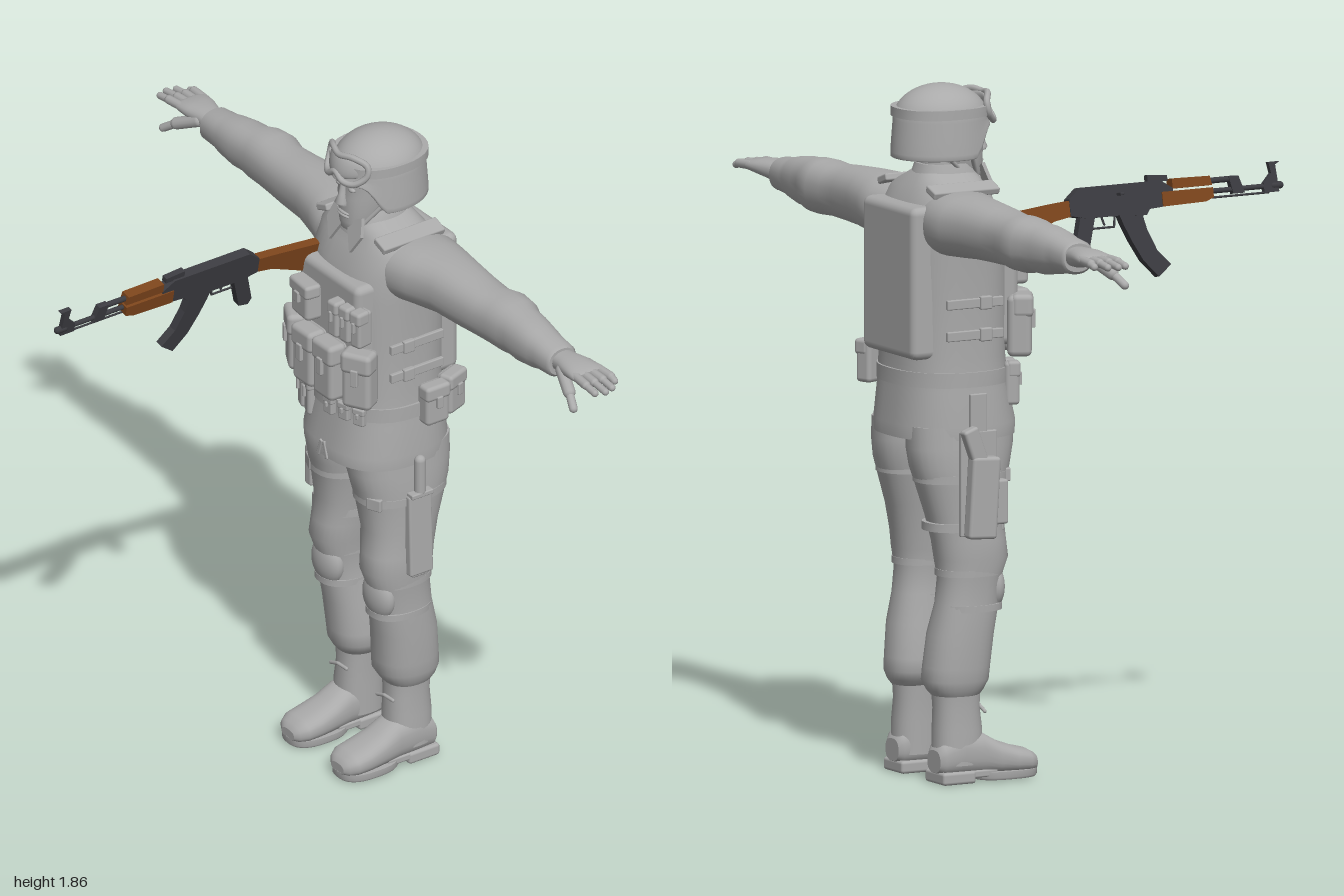
import * as THREE from 'three';
import { RoundedBoxGeometry } from 'three/addons/geometries/RoundedBoxGeometry.js';
import { mergeVertices } from 'three/addons/utils/BufferGeometryUtils.js';

const grey = new THREE.MeshStandardMaterial({ color: 0xaaaaaa, side: THREE.DoubleSide });
grey.name = 'uniform grey';
const steel = new THREE.MeshStandardMaterial({ color: 0x3c3c41 });
steel.name = 'gun metal';
const wood = new THREE.MeshStandardMaterial({ color: 0x7d451c });
wood.name = 'wood';

const V = (x, y, z) => new THREE.Vector3(x, y, z);

function add(parent, name, geo, mat = grey) {
  const m = new THREE.Mesh(geo, mat);
  m.name = name;
  parent.add(m);
  return m;
}

// Stacked superellipse rings [y, cx, cz, rx, rz], capped at both ends
function loft(rings, n = 2.3, seg = 32) {
  const pos = [], idx = [];
  const ring = ([y, cx, cz, rx, rz]) => {
    for (let i = 0; i < seg; i++) {
      const t = (i / seg) * Math.PI * 2, c = Math.cos(t), s = Math.sin(t);
      pos.push(cx + rx * Math.sign(c) * Math.abs(c) ** (2 / n), y, cz + rz * Math.sign(s) * Math.abs(s) ** (2 / n));
    }
  };
  rings.forEach(ring);
  for (let k = 0; k < rings.length - 1; k++) for (let i = 0; i < seg; i++) {
    const a = k * seg + i, b = k * seg + (i + 1) % seg;
    idx.push(a, a + seg, b, b, a + seg, b + seg);
  }
  [rings[0], rings[rings.length - 1]].forEach((r, top) => {
    const o = pos.length / 3;
    ring(r);
    pos.push(r[1], r[0], r[2]);
    for (let i = 0; i < seg; i++) {
      const a = o + i, b = o + (i + 1) % seg;
      if (top) idx.push(o + seg, b, a); else idx.push(o + seg, a, b);
    }
  });
  const g = new THREE.BufferGeometry();
  g.setAttribute('position', new THREE.Float32BufferAttribute(pos, 3));
  g.setIndex(idx);
  g.computeVertexNormals();
  return g;
}

function box(p, name, [w, h, d], [x, y, z], [rx, ry, rz] = [0, 0, 0], mat = grey) {
  const m = add(p, name, new RoundedBoxGeometry(w, h, d, 2, Math.min(w, h, d) * 0.25), mat);
  m.position.set(x, y, z);
  m.rotation.set(rx, ry, rz);
  return m;
}

function ball(p, name, r, c) {
  return add(p, name, new THREE.SphereGeometry(1, 24, 16).scale(...r).translate(...c));
}

function rod(p, name, a, b, r, mat = grey) {
  const d = b.clone().sub(a);
  const m = add(p, name, new THREE.CapsuleGeometry(r, d.length(), 4, 12), mat);
  m.position.copy(a).add(b).multiplyScalar(0.5);
  m.quaternion.setFromUnitVectors(V(0, 1, 0), d.normalize());
}

// Pouch with a lid flap on its outer face
function pouch(p, name, [w, h, d], c, turn = 0) {
  const g = new THREE.Group();
  g.name = name;
  g.position.set(...c);
  g.rotation.y = turn;
  p.add(g);
  box(g, name + 'Body', [w, h, d], [0, 0, 0]);
  box(g, name + 'Flap', [w * 1.06, h * 0.38, d * 0.9], [0, h * 0.33, d * 0.12]);
  box(g, name + 'Tab', [w * 0.25, h * 0.3, 0.012], [0, h * 0.1, d * 0.56]);
}

const band = (p, name, y, cx, cz, rx, rz, h) =>
  add(p, name, loft([[y - h / 2, cx, cz, rx, rz], [y + h / 2, cx, cz, rx, rz]]));

function buildTorso(p) {
  add(p, 'jacket', loft([[0.925, 0, -0.393, 0.186, 0.172], [0.96, 0, -0.393, 0.187, 0.173], [1.05, 0, -0.398, 0.179, 0.158],
    [1.14, 0, -0.4, 0.172, 0.152], [1.3, 0, -0.4, 0.174, 0.155], [1.42, 0, -0.403, 0.18, 0.152], [1.5, 0, -0.405, 0.186, 0.138],
    [1.55, 0, -0.408, 0.183, 0.117], [1.585, 0, -0.405, 0.155, 0.1], [1.61, 0, -0.4, 0.1, 0.088], [1.625, 0, -0.4, 0.07, 0.075]], 2.5, 48));
  box(p, 'backPanel', [0.28, 0.41, 0.09], [0, 1.345, -0.522]);
  box(p, 'chestPanel', [0.27, 0.32, 0.09], [0, 1.32, -0.282]);
  band(p, 'belt', 1.085, 0, -0.398, 0.182, 0.163, 0.04);
  add(p, 'collar', loft([[1.575, 0, -0.395, 0.088, 0.098], [1.61, 0, -0.393, 0.08, 0.09], [1.645, 0, -0.4, 0.068, 0.07]]));
  for (const s of [-1, 1]) {
    const lapel = new THREE.Shape([[0, 0], [0.055, 0.03], [0.07, -0.02], [0.04, -0.075]].map(([x, y]) => new THREE.Vector2(s * x, y)));
    const m = add(p, 'collarFlap', new THREE.ExtrudeGeometry(lapel, { depth: 0.01, bevelEnabled: false }));
    m.position.set(s * 0.006, 1.612, -0.305);
    m.rotation.x = -0.3;
    box(p, 'shoulderStrap', [0.05, 0.02, 0.2], [s * 0.13, 1.588, -0.41], [0, 0, -s * 0.35]);
    // Lower magazine pouches wrap around the ribs
    pouch(p, 'magazinePouch', [0.086, 0.165, 0.065], [s * 0.046, 1.215, -0.215]);
    pouch(p, 'sidePouch', [0.085, 0.165, 0.065], [s * 0.138, 1.215, -0.243], s * 0.5);
    for (const y of [1.205, 1.29]) {
      box(p, 'sideStrap', [0.012, 0.026, 0.17], [s * 0.176, y, -0.4]);
      box(p, 'sideBuckle', [0.016, 0.036, 0.035], [s * 0.181, y, -0.37]);
    }
    box(p, 'frontVent', [0.012, 0.05, 0.01], [s * 0.012, 0.945, -0.222], [0, 0, s * 0.3]);
  }
  for (const x of [0.06, 0.102, 0.144]) pouch(p, 'chestPouch', [0.038, 0.105, 0.05], [x, 1.37, -0.222 - x * 0.14], x);
  pouch(p, 'radioPouch', [0.088, 0.105, 0.055], [-0.075, 1.37, -0.225], -0.1);
  for (const x of [-0.135, -0.09]) pouch(p, 'beltPouch', [0.04, 0.115, 0.04], [x, 1.06, -0.262 + x * 0.25 + 0.03], -0.35);
  for (const x of [0.02, 0.07, 0.12]) pouch(p, 'beltLoop', [0.035, 0.05, 0.02], [x, 1.085, -0.225 - x * 0.25], x * 3);
  for (const z of [-0.445, -0.522]) pouch(p, 'hipPouch', [0.075, 0.115, 0.05], [0.19 + (z + 0.445) * 0.35, 1.1, z], Math.PI / 2 + (z < -0.5 ? 0.35 : 0));
}

function buildHead(p) {
  add(p, 'neck', loft([[1.56, 0, -0.4, 0.06, 0.065], [1.68, 0, -0.4, 0.056, 0.06]]));
  add(p, 'face', loft([[1.585, 0, -0.322, 0.022, 0.022], [1.592, 0, -0.33, 0.037, 0.04], [1.615, 0, -0.35, 0.052, 0.063], [1.65, 0, -0.372, 0.062, 0.086],
    [1.69, 0, -0.38, 0.068, 0.095], [1.72, 0, -0.38, 0.069, 0.091], [1.74, 0, -0.382, 0.071, 0.1], [1.79, 0, -0.39, 0.07, 0.1]]));
  add(p, 'nose', loft([[1.668, 0, -0.284, 0.017, 0.014], [1.676, 0, -0.281, 0.018, 0.017], [1.7, 0, -0.287, 0.01, 0.013], [1.73, 0, -0.292, 0.008, 0.012]], 2, 16));
  for (const y of [1.634, 1.643]) ball(p, 'lip', [0.024, 0.005, 0.008], [0, y, -0.289]);
  for (const s of [-1, 1]) {
    ball(p, 'eye', [0.013, 0.007, 0.008], [s * 0.028, 1.718, -0.296]);
    rod(p, 'brow', V(s * 0.014, 1.737, -0.287), V(s * 0.046, 1.737, -0.304), 0.006);
    rod(p, 'chinStrap', V(s * 0.085, 1.68, -0.36), V(s * 0.035, 1.598, -0.312), 0.006);
    rod(p, 'rearStrap', V(s * 0.085, 1.68, -0.44), V(s * 0.05, 1.605, -0.35), 0.006);
  }
  rod(p, 'chinCup', V(-0.033, 1.598, -0.31), V(0.033, 1.598, -0.31), 0.009);

  // Dome with a skirt that rises over the face
  const prof = [[1.02, -1], [1.05, -0.97], [1.05, -0.85], [1.03, -0.5], [1.015, -0.25]];
  for (let i = 0; i <= 14; i++) prof.push([Math.cos(i / 14 * Math.PI / 2), Math.sin(i / 14 * Math.PI / 2)]);
  let g = new THREE.LatheGeometry(prof.map(([x, y]) => new THREE.Vector2(Math.max(x, 0), y)), 48);
  const a = g.attributes.position;
  for (let i = 0; i < a.count; i++) {
    const x = a.getX(i), y = a.getY(i), z = a.getZ(i);
    const drop = 0.2 + 0.8 * (1 - THREE.MathUtils.smoothstep(z, 0.35, 0.85));
    a.setXYZ(i, x * 0.113, 1.762 + y * (y < 0 ? 0.1 * drop : 0.093), -0.405 + z * 0.13);
  }
  g.deleteAttribute('uv');
  g.deleteAttribute('normal');
  g = mergeVertices(g, 1e-5);
  g.computeVertexNormals();
  add(p, 'helmet', g);
  band(p, 'goggleStrap', 1.785, 0, -0.405, 0.113, 0.132, 0.026);

  // Goggles bent around the dome
  const bend = (x, y) => V(x, y, -0.266 - 6 * x * x - (y - 1.79) * 0.25);
  const half = [[0, 1.822], [0.045, 1.826], [0.08, 1.808], [0.083, 1.78], [0.06, 1.755], [0.03, 1.757]];
  const loop = [...half, [0, 1.774], ...half.slice(1).reverse().map(([x, y]) => [-x, y])].map(q => bend(...q));
  add(p, 'goggleFrame', new THREE.TubeGeometry(new THREE.CatmullRomCurve3(loop, true), 64, 0.009, 8, true));
  const lens = new THREE.SphereGeometry(1, 32, 16), l = lens.attributes.position;
  for (let i = 0; i < l.count; i++) {
    const q = bend(l.getX(i) * 0.08, 1.791 + l.getY(i) * 0.032);
    l.setXYZ(i, q.x, q.y, q.z - 0.008 + l.getZ(i) * 0.012);
  }
  lens.computeVertexNormals();
  add(p, 'goggleLens', lens);
}

function buildArm(p, s) {
  // Rings as [x, cy, cz, ry, rz]
  const along = (rings, n) => loft(rings.map(([x, cy, cz, ry, rz]) => [x, -s * cy, cz, ry, rz]), n).rotateZ(-s * Math.PI / 2);
  add(p, 'sleeve', along([[0.08, 1.5, -0.42, 0.08, 0.1], [0.16, 1.502, -0.428, 0.086, 0.115], [0.22, 1.504, -0.433, 0.083, 0.103], [0.3, 1.507, -0.436, 0.079, 0.086],
    [0.4, 1.505, -0.435, 0.074, 0.077], [0.47, 1.503, -0.438, 0.07, 0.072], [0.52, 1.505, -0.446, 0.074, 0.076], [0.57, 1.504, -0.445, 0.073, 0.072], [0.6, 1.504, -0.44, 0.066, 0.064],
    [0.64, 1.503, -0.437, 0.066, 0.063], [0.7, 1.503, -0.434, 0.057, 0.056], [0.725, 1.503, -0.434, 0.05, 0.052], [0.78, 1.502, -0.433, 0.045, 0.049], [0.787, 1.502, -0.433, 0.038, 0.042]]));
  add(p, 'palm', along([[0.77, 1.505, -0.435, 0.027, 0.034], [0.81, 1.507, -0.437, 0.027, 0.037], [0.85, 1.511, -0.438, 0.024, 0.047], [0.89, 1.512, -0.44, 0.018, 0.051], [0.905, 1.511, -0.44, 0.012, 0.049]]));
  [[-0.481, 0.957], [-0.454, 0.982], [-0.427, 0.99], [-0.4, 0.98]].forEach(([z, x]) => {
    rod(p, 'finger', V(s * 0.885, 1.513, z * 0.9 - 0.044), V(s * 0.94, 1.511, z), 0.0125);
    rod(p, 'fingertip', V(s * 0.935, 1.511, z), V(s * x, 1.505, z), 0.01);
  });
  rod(p, 'thumbBase', V(s * 0.82, 1.5, -0.408), V(s * 0.885, 1.47, -0.385), 0.017);
  rod(p, 'thumb', V(s * 0.885, 1.47, -0.385), V(s * 0.925, 1.443, -0.37), 0.0115);
}

function buildLeg(p, s) {
  add(p, 'trouserLeg', loft([[0.235, 0.106, -0.42, 0.055, 0.065], [0.25, 0.104, -0.42, 0.066, 0.077], [0.275, 0.1, -0.418, 0.078, 0.09], [0.31, 0.102, -0.415, 0.078, 0.09], [0.4, 0.108, -0.406, 0.076, 0.09],
    [0.48, 0.114, -0.39, 0.069, 0.087], [0.55, 0.115, -0.382, 0.068, 0.088], [0.6, 0.114, -0.377, 0.077, 0.101], [0.65, 0.111, -0.383, 0.077, 0.102], [0.72, 0.105, -0.394, 0.081, 0.107],
    [0.8, 0.1, -0.4, 0.089, 0.126], [0.85, 0.096, -0.402, 0.094, 0.14], [0.9, 0.092, -0.4, 0.094, 0.15], [0.96, 0.09, -0.398, 0.092, 0.152]].map(([y, cx, ...r]) => [y, s * cx, ...r])));
  ball(p, 'kneePad', [0.06, 0.068, 0.034], [s * 0.115, 0.52, -0.322]);
  for (const y of [0.47, 0.565]) band(p, 'kneeStrap', y, s * 0.115, -0.385, 0.071, 0.091, 0.018);
  for (const y of s < 0 ? [0.69, 0.82] : [0.82]) {
    band(p, 'thighStrap', y, s * (y > 0.75 ? 0.099 : 0.107), -0.4, y > 0.75 ? 0.093 : 0.084, y > 0.75 ? 0.132 : 0.109, 0.022);
    box(p, 'thighBuckle', [0.045, 0.036, 0.016], [s * 0.145, y, y > 0.75 ? -0.285 : -0.306], [0, s * 0.4, 0]);
  }
  // Boot: shaft, foot lofted heel to toe, sole and heel
  add(p, 'bootShaft', loft([[0.05, s * 0.109, -0.418, 0.056, 0.067], [0.14, s * 0.108, -0.416, 0.055, 0.068], [0.2, s * 0.105, -0.417, 0.053, 0.063], [0.26, s * 0.105, -0.418, 0.057, 0.066]]));
  const foot = [[-0.488, 0.06, 0.035, 0.03], [-0.475, 0.066, 0.048, 0.046], [-0.42, 0.08, 0.054, 0.064], [-0.36, 0.075, 0.054, 0.06], [-0.31, 0.06, 0.057, 0.046],
    [-0.26, 0.051, 0.061, 0.037], [-0.22, 0.046, 0.059, 0.032], [-0.198, 0.041, 0.046, 0.025], [-0.188, 0.036, 0.028, 0.014]];
  add(p, 'bootFoot', loft(foot.map(([z, cy, rx, ry]) => [z, s * 0.112, -cy, rx, ry]), 2.5).rotateX(Math.PI / 2));
  add(p, 'sole', loft([[0.004, s * 0.113, -0.278, 0.058, 0.087], [0.01, s * 0.113, -0.278, 0.062, 0.091], [0.026, s * 0.113, -0.278, 0.062, 0.091]], 2.6));
  box(p, 'heel', [0.104, 0.034, 0.1], [s * 0.112, 0.017, -0.437]);
  box(p, 'soleArch', [0.098, 0.02, 0.1], [s * 0.112, 0.024, -0.37]);
  for (const t of [-1, 1]) rod(p, 'lace', V(s * 0.105, 0.2, -0.347), V(s * 0.105 + t * 0.035, 0.193 + t * 0.006, -0.349), 0.005);
}

function buildGear(p) {
  // Holster on the right thigh
  box(p, 'holsterBack', [0.014, 0.28, 0.11], [-0.193, 0.81, -0.4]);
  box(p, 'holsterBody', [0.04, 0.22, 0.085], [-0.217, 0.775, -0.4], [0.06, 0, 0]);
  box(p, 'holsterMagazine', [0.03, 0.12, 0.04], [-0.213, 0.76, -0.345]);
  box(p, 'pistolGrip', [0.032, 0.1, 0.045], [-0.217, 0.915, -0.425], [-0.35, 0, 0]);
  box(p, 'holsterHanger', [0.012, 0.13, 0.05], [-0.193, 0.985, -0.4]);
  // Sheathed knife on the left thigh
  box(p, 'knifeSheath', [0.026, 0.24, 0.075], [0.193, 0.72, -0.395], [0, 0, 0.03]);
  box(p, 'sheathTip', [0.024, 0.05, 0.045], [0.189, 0.615, -0.392]);
  box(p, 'knifeGuard', [0.03, 0.014, 0.07], [0.197, 0.842, -0.396]);
  rod(p, 'knifeHandle', V(0.197, 0.85, -0.396), V(0.197, 0.94, -0.396), 0.016);
}

function buildRifle(p) {
  const r = new THREE.Group();
  r.name = 'rifle';
  r.position.set(-0.1, 1.55, 0);
  r.rotation.z = -0.2;
  p.add(r);
  // Side profiles as [z, y], extruded across the rifle
  const plate = (name, pts, t, mat = steel) => add(r, name, new THREE.ExtrudeGeometry(new THREE.Shape(pts.map(q => new THREE.Vector2(...q))), { depth: t, bevelEnabled: false })
    .rotateY(-Math.PI / 2).translate(t / 2, -1.55, 0), mat);
  const bar = (name, z0, y0, z1, y1, rad, mat = steel) => rod(r, name, V(0, y0 - 1.55, z0), V(0, y1 - 1.55, z1), rad, mat);
  plate('receiver', [[0.235, 1.49], [0.235, 1.535], [0.2, 1.558], [-0.045, 1.558], [-0.08, 1.53], [-0.08, 1.485], [-0.03, 1.475], [0.06, 1.475], [0.15, 1.47], [0.16, 1.485]], 0.03);
  plate('stock', [[-0.07, 1.527], [-0.13, 1.522], [-0.285, 1.505], [-0.285, 1.42], [-0.24, 1.427], [-0.13, 1.475], [-0.07, 1.485]], 0.026, wood);
  plate('lowerHandguard', [[0.355, 1.5], [0.355, 1.527], [0.2, 1.527], [0.2, 1.488], [0.33, 1.491]], 0.036, wood);
  plate('upperHandguard', [[0.355, 1.533], [0.35, 1.558], [0.235, 1.56], [0.235, 1.533]], 0.03, wood);
  plate('magazine', [[0.065, 1.485], [0.135, 1.485], [0.148, 1.43], [0.172, 1.375], [0.21, 1.335], [0.17, 1.305], [0.128, 1.35], [0.098, 1.405], [0.078, 1.45]], 0.024);
  plate('grip', [[-0.005, 1.48], [-0.05, 1.48], [-0.075, 1.395], [-0.065, 1.378], [-0.035, 1.383]], 0.024);
  plate('rearSight', [[0.225, 1.555], [0.225, 1.57], [0.165, 1.575], [0.165, 1.555]], 0.018);
  plate('frontSight', [[0.56, 1.5], [0.555, 1.572], [0.57, 1.58], [0.535, 1.58], [0.54, 1.55], [0.515, 1.525], [0.515, 1.5]], 0.014);
  plate('gasBlock', [[0.455, 1.505], [0.44, 1.552], [0.41, 1.552], [0.42, 1.505]], 0.018);
  bar('barrel', 0.34, 1.517, 0.568, 1.517, 0.007);
  bar('gasTube', 0.34, 1.545, 0.43, 1.545, 0.008);
  bar('cleaningRod', 0.34, 1.5, 0.53, 1.5, 0.003);
  bar('muzzle', 0.545, 1.517, 0.567, 1.517, 0.01);
  bar('triggerGuard', 0.055, 1.447, -0.01, 1.447, 0.003);
  bar('guardFront', 0.06, 1.475, 0.055, 1.447, 0.003);
  bar('trigger', 0.02, 1.475, 0.026, 1.455, 0.003);
  const bolt = box(r, 'boltHandle', [0.03, 0.008, 0.012], [-0.022, -0.025, 0.07], [0, 0, 0], steel);
  bolt.position.y = -0.018;
}

export function createModel() {
  const model = new THREE.Group();
  model.name = 'soldier';
  const part = (name, fn, s) => {
    const g = new THREE.Group();
    g.name = name;
    model.add(g);
    fn(g, s);
  };
  part('torso', buildTorso);
  part('head', buildHead);
  part('leftArm', buildArm, 1);
  part('rightArm', buildArm, -1);
  part('leftLeg', buildLeg, 1);
  part('rightLeg', buildLeg, -1);
  part('thighGear', buildGear);
  buildRifle(model);
  return model;
}
